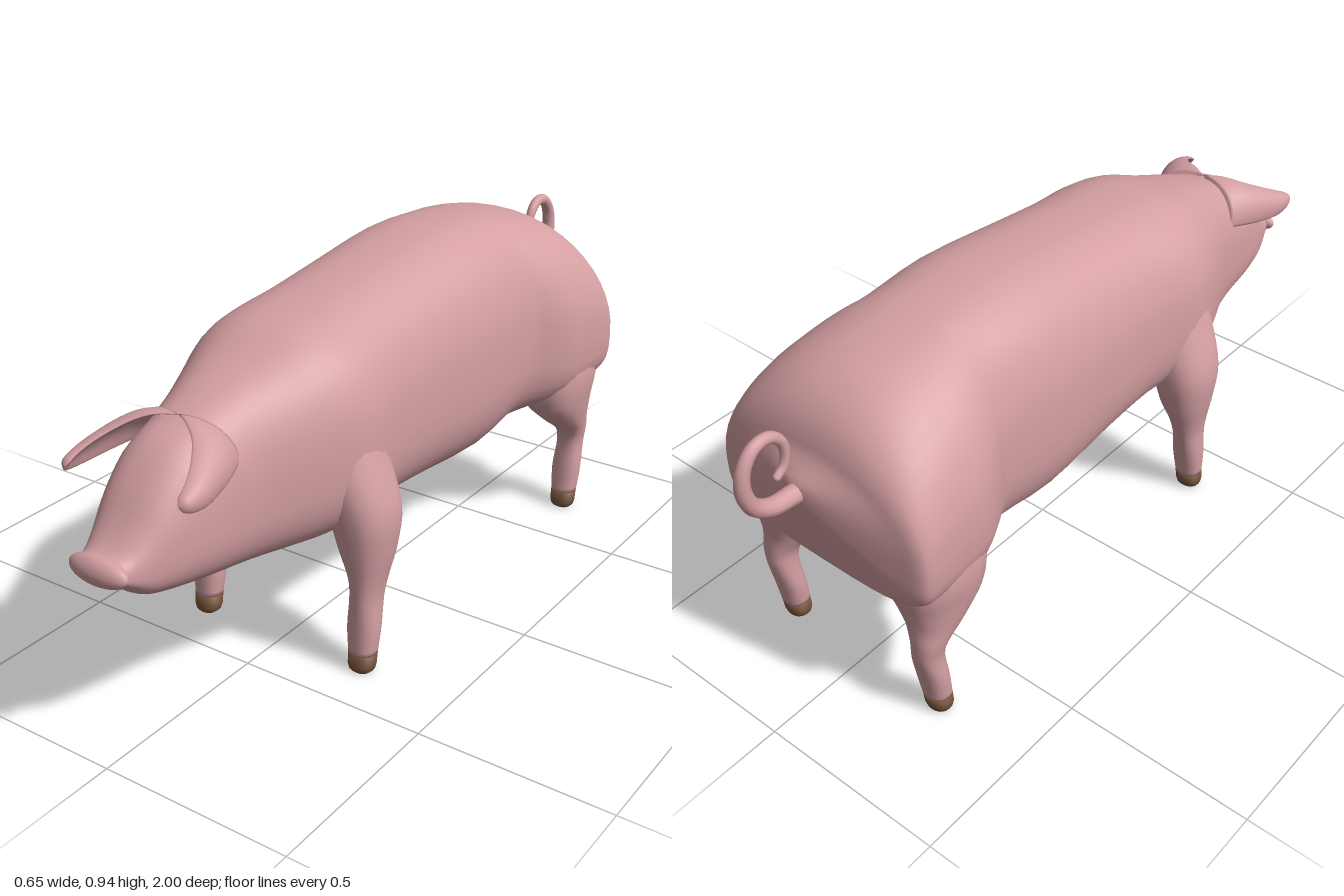
import * as THREE from 'three';

const pink = new THREE.MeshStandardMaterial({ color: 0xd49fa2 });
pink.name = 'pink skin';
const brown = new THREE.MeshStandardMaterial({ color: 0x74533a });
brown.name = 'brown hoof';

// Smooth interpolation of rows of numbers
function smoothRows(rows, steps) {
  const out = [];
  const at = i => rows[Math.max(0, Math.min(rows.length - 1, i))];
  for (let i = 0; i < rows.length - 1; i++) {
    for (let k = 0; k < steps; k++) {
      const t = k / steps;
      out.push(rows[i].map((p1, c) => {
        const p0 = at(i - 1)[c], p2 = at(i + 1)[c], p3 = at(i + 2)[c];
        return p1 + 0.5 * t * (p2 - p0 + t * (2 * p0 - 5 * p1 + 4 * p2 - p3 + t * (3 * (p1 - p2) + p3 - p0)));
      }));
    }
  }
  out.push(rows[rows.length - 1]);
  return out;
}

// Skin over rings of points with both ends closed; side -1 mirrors in x
function loft(rings, side = 1) {
  const n = rings[0].length, pos = [], idx = [];
  const tri = (a, b, c) => (side > 0 ? idx.push(a, b, c) : idx.push(a, c, b));
  const add = p => pos.push(p.x * side, p.y, p.z);
  rings.forEach(r => r.forEach(add));
  for (let i = 0; i < rings.length - 1; i++) {
    for (let j = 0; j < n; j++) {
      const a = i * n + j, b = i * n + (j + 1) % n;
      tri(a, a + n, b);
      tri(b, a + n, b + n);
    }
  }
  const mid = r => r.reduce((s, p) => s.add(p), new THREE.Vector3()).divideScalar(n);
  const first = rings.length * n, last = first - n;
  add(mid(rings[0]));
  add(mid(rings[rings.length - 1]));
  for (let j = 0; j < n; j++) {
    const k = (j + 1) % n;
    tri(first, j, k);
    tri(first + 1, last + k, last + j);
  }
  const g = new THREE.BufferGeometry();
  g.setAttribute('position', new THREE.Float32BufferAttribute(pos, 3));
  g.setIndex(idx);
  g.computeVertexNormals();
  return g;
}

const ring = (n, f) => Array.from({ length: n }, (_, j) => f((j / n) * Math.PI * 2));
const power = (v, e) => Math.sign(v) * Math.pow(Math.abs(v), 2 / e);

// Trunk and head: z, bottom, top, half width
const BODY = [
  [0.985, 0.475, 0.522, 0.060],
  [0.945, 0.447, 0.534, 0.074],
  [0.90, 0.412, 0.580, 0.092],
  [0.85, 0.395, 0.645, 0.110],
  [0.78, 0.380, 0.710, 0.127],
  [0.70, 0.365, 0.745, 0.137],
  [0.60, 0.354, 0.785, 0.162],
  [0.50, 0.345, 0.820, 0.205],
  [0.40, 0.337, 0.860, 0.245],
  [0.30, 0.335, 0.876, 0.262],
  [0.18, 0.338, 0.890, 0.250],
  [0.00, 0.325, 0.912, 0.252],
  [-0.24, 0.305, 0.936, 0.263],
  [-0.42, 0.324, 0.928, 0.255],
  [-0.49, 0.342, 0.920, 0.283],
  [-0.56, 0.355, 0.908, 0.313],
  [-0.65, 0.365, 0.886, 0.323],
  [-0.72, 0.370, 0.850, 0.326],
  [-0.765, 0.380, 0.805, 0.324],
  [-0.788, 0.405, 0.760, 0.305],
  [-0.803, 0.440, 0.720, 0.240],
  [-0.845, 0.615, 0.670, 0.030],
];

// Sections are squarer below and rounder on top toward the haunches
function bodyGeometry() {
  return loft(smoothRows(BODY, 3).map(([z, bottom, top, w]) => {
    const haunch = THREE.MathUtils.smoothstep(-z, 0.4, 0.6);
    const mid = THREE.MathUtils.lerp(bottom, top, 0.42 - 0.06 * haunch);
    return ring(48, a => {
      const s = Math.sin(a), e = s > 0 ? 2.6 - 0.35 * haunch : 2.6 + 0.8 * haunch;
      const height = s > 0 ? top - mid : mid - bottom;
      return new THREE.Vector3(w * power(Math.cos(a), e), mid + height * power(s, e), z);
    });
  }));
}

// Legs: y, centre x, centre z, half width, half depth
const FRONT_LEG = [
  [0.05, 0.244, 0.352, 0.036, 0.033],
  [0.12, 0.243, 0.345, 0.041, 0.039],
  [0.20, 0.244, 0.336, 0.037, 0.048],
  [0.26, 0.245, 0.329, 0.044, 0.059],
  [0.33, 0.238, 0.322, 0.064, 0.077],
  [0.43, 0.225, 0.321, 0.083, 0.093],
  [0.55, 0.180, 0.325, 0.092, 0.100],
  [0.70, 0.140, 0.325, 0.080, 0.080],
];
const REAR_LEG = [
  [0.05, 0.245, -0.694, 0.036, 0.032],
  [0.12, 0.244, -0.704, 0.041, 0.034],
  [0.20, 0.245, -0.717, 0.037, 0.038],
  [0.25, 0.247, -0.709, 0.043, 0.047],
  [0.30, 0.238, -0.676, 0.062, 0.077],
  [0.36, 0.228, -0.652, 0.083, 0.112],
  [0.45, 0.215, -0.652, 0.104, 0.132],
  [0.60, 0.190, -0.650, 0.105, 0.115],
];
const legRing = ([y, x, z, rx, rz]) =>
  ring(20, a => new THREE.Vector3(x + rx * power(Math.cos(a), 2.3), y, z + rz * power(Math.sin(a), 2.3)));

// Hoof rings: height, forward shift and scale below the ankle
const hoofRows = ([, x, z, rx, rz]) => [[0, 0.006, 0.7], [0.006, 0.005, 0.89], [0.018, 0.004, 0.98], [0.05, 0, 1]]
  .map(([y, shift, k]) => [y, x, z + shift, rx * k, rz * k]);

// Ears: thin curved leaves between an upper edge and a lower edge, root to tip
const EAR = [
  [0.00, 0.752, 0.700, 0.125, 0.655, 0.650],
  [0.045, 0.752, 0.728, 0.146, 0.650, 0.695],
  [0.090, 0.735, 0.762, 0.163, 0.642, 0.750],
  [0.128, 0.708, 0.815, 0.176, 0.635, 0.815],
  [0.146, 0.688, 0.855, 0.177, 0.637, 0.860],
  [0.153, 0.673, 0.882, 0.171, 0.645, 0.885],
  [0.160, 0.661, 0.892, 0.164, 0.654, 0.892],
];
function earGeometry(side) {
  const along = new THREE.Vector3(0.06, -0.04, 0.19).normalize();
  const out = new THREE.Vector3(0.8, 0.6, 0);
  return loft(smoothRows(EAR, 4).map(r => {
    const a = new THREE.Vector3(r[0], r[1], r[2]), b = new THREE.Vector3(r[3], r[4], r[5]);
    const half = a.clone().sub(b).multiplyScalar(0.5), mid = a.clone().add(b).multiplyScalar(0.5);
    const normal = half.clone().cross(along).normalize();
    const thick = Math.min(0.010, half.length() * 0.6);
    return ring(20, t => mid.clone().addScaledVector(half, Math.cos(t))
      .addScaledVector(normal, thick * Math.sin(t))
      .addScaledVector(out, half.length() * 0.42 * Math.sin(t) ** 2));
  }), side);
}

// Curled tail: a root that runs into a tightening spiral, thinner toward the tip
function tailGeometry() {
  const pts = [new THREE.Vector3(0, 0.645, -0.80), new THREE.Vector3(0, 0.648, -0.86)];
  for (let i = 0; i <= 9; i++) {
    const a = -1.45 + i * 0.63, r = 0.108 - 0.0068 * i;
    pts.push(new THREE.Vector3(0, 0.763 + r * Math.sin(a), -0.905 - r * 0.8 * Math.cos(a)));
  }
  const curve = new THREE.CatmullRomCurve3(pts);
  const seg = 60, sides = 12;
  const g = new THREE.TubeGeometry(curve, seg, 0.026, sides);
  const p = g.attributes.position, v = new THREE.Vector3();
  for (let i = 0; i < p.count; i++) {
    const t = Math.floor(i / (sides + 1)) / seg, c = curve.getPointAt(t);
    v.fromBufferAttribute(p, i).sub(c).multiplyScalar(1 - 0.62 * t).add(c);
    p.setXYZ(i, v.x, v.y, v.z);
  }
  return { geometry: g, end: pts[pts.length - 1] };
}

export function createModel() {
  const model = new THREE.Group();
  model.name = 'pig';
  const add = (name, geometry, material = pink) => {
    const mesh = new THREE.Mesh(geometry, material);
    mesh.name = name;
    model.add(mesh);
    return mesh;
  };
  add('body', bodyGeometry());

  // Flat snout pad
  const snout = add('snout', new THREE.SphereGeometry(1, 32, 20));
  snout.scale.set(0.083, 0.034, 0.026);
  snout.position.set(0, 0.495, 0.973);
  snout.rotation.x = -0.25;

  const tail = tailGeometry();
  add('tail', tail.geometry);
  add('tailTip', new THREE.SphereGeometry(0.0099, 12, 8)).position.copy(tail.end);

  for (const side of [1, -1]) {
    const label = side > 0 ? 'left' : 'right';
    add(label + 'Ear', earGeometry(side));
    for (const [part, rows] of [['Front', FRONT_LEG], ['Rear', REAR_LEG]]) {
      add(label + part + 'Leg', loft(smoothRows(rows, 4).map(legRing), side));
      add(label + part + 'Hoof', loft(hoofRows(rows[0]).map(legRing), side), brown);
    }
  }
  return model;
}
